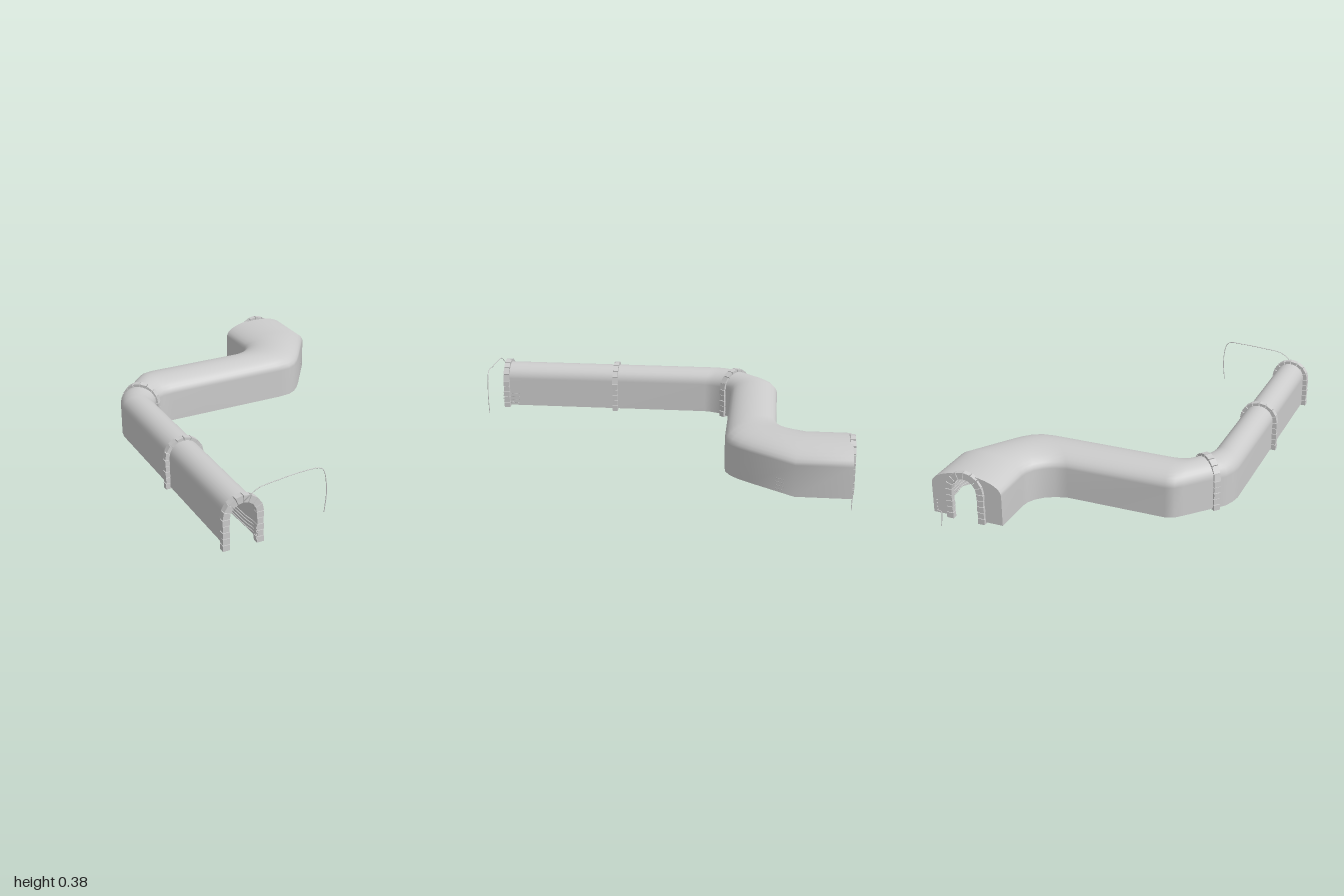
import * as THREE from 'three';

const grey = new THREE.MeshStandardMaterial({ color: 0xcccccc });
const greyThin = new THREE.MeshStandardMaterial({ color: 0xcccccc, side: THREE.DoubleSide });

const FLOOR = 0.075, SPRING = 0.237, TOP = 0.315;

// Plan of the tunnel: foot of the -x wall (x, z) and foot of the +x wall (x, z)
const STATIONS = [
  [-0.66, 0.97, -0.50, 0.97], [-0.66, 0.30, -0.50, 0.30], [-0.66, -0.29, -0.50, -0.20],
  [-0.65, -0.34, -0.492, -0.24], [-0.63, -0.39, -0.475, -0.28], [-0.60, -0.423, -0.455, -0.31],
  [-0.47, -0.565, -0.43, -0.335], [-0.435, -0.60, -0.39, -0.352], [-0.39, -0.615, -0.34, -0.357],
  [0.13, -0.615, 0.33, -0.357], [0.19, -0.632, 0.40, -0.365], [0.24, -0.66, 0.445, -0.39],
  [0.275, -0.695, 0.485, -0.43], [0.295, -0.735, 0.53, -0.49], [0.30, -0.77, 0.68, -0.71],
  [0.30, -0.985, 0.68, -0.985],
];

// Arched cross-section: t runs 0..1 across the width, y is the height
function archProfile(segments = 16) {
  const points = [[0, FLOOR]];
  for (let i = 0; i <= segments; i++) {
    const a = Math.PI * (1 - i / segments);
    points.push([0.5 + 0.5 * Math.cos(a), SPRING + (TOP - SPRING) * Math.sin(a)]);
  }
  points.push([1, FLOOR]);
  return points;
}

// Vault shell lofted through the stations, open underneath
function tunnelShell() {
  const profile = archProfile(), n = profile.length;
  const positions = [], index = [];
  STATIONS.forEach(([lx, lz, rx, rz], i) => {
    profile.forEach(([t, y], j) => {
      positions.push(lx + (rx - lx) * t, y, lz + (rz - lz) * t);
      if (i < STATIONS.length - 1 && j < n - 1) {
        const a = i * n + j, b = a + 1, c = a + n, d = c + 1;
        index.push(a, b, c, b, d, c);
      }
    });
  });
  const g = new THREE.BufferGeometry();
  g.setAttribute('position', new THREE.Float32BufferAttribute(positions, 3));
  g.setIndex(index);
  g.computeVertexNormals();
  return new THREE.Mesh(g, greyThin);
}

// End wall with an arched doorway
function endWall() {
  const x0 = 0.30, w = 0.38, cx = 0.495, r = 0.07;
  const shape = new THREE.Shape(archProfile().map(([t, y]) => new THREE.Vector2(x0 + w * t, y)));
  shape.lineTo(cx + r, FLOOR);
  shape.lineTo(cx + r, 0.23);
  shape.absarc(cx, 0.23, r, 0, Math.PI, false);
  shape.lineTo(cx - r, FLOOR);
  shape.closePath();
  const wall = new THREE.Mesh(new THREE.ShapeGeometry(shape), greyThin);
  wall.position.z = -0.985;
  return wall;
}

// Arch of separate stones: stacked legs and a ring of wedges
function stoneArch(name, x, z, depth, turn = 0) {
  const group = new THREE.Group();
  group.name = name;
  const inner = 0.068, outer = 0.104, base = 0.065, spring = 0.227, rows = 5, wedges = 8;
  const pitch = (spring - base) / rows;
  for (const side of [-1, 1]) {
    for (let i = 0; i < rows; i++) {
      const width = outer - inner - (i % 2) * 0.003;
      const block = new THREE.Mesh(new THREE.BoxGeometry(width, pitch - 0.003, depth), grey);
      block.name = 'legStone';
      block.position.set(side * (inner + outer) / 2, base + (i + 0.5) * pitch, 0);
      group.add(block);
    }
  }
  for (let i = 0; i < wedges; i++) {
    const a0 = (i / wedges) * Math.PI + 0.02, a1 = ((i + 1) / wedges) * Math.PI - 0.02;
    const corner = (r, a) => new THREE.Vector2(r * Math.cos(a), r * Math.sin(a));
    const shape = new THREE.Shape([corner(inner, a0), corner(outer, a0), corner(outer, a1), corner(inner, a1)]);
    const g = new THREE.ExtrudeGeometry(shape, { depth, bevelEnabled: false });
    const wedge = new THREE.Mesh(g.translate(0, spring, -depth / 2), grey);
    wedge.name = 'archStone';
    group.add(wedge);
  }
  group.position.set(x, 0, z);
  group.rotation.y = turn;
  return group;
}

function tube(name, points, radius, segments) {
  const curve = new THREE.CatmullRomCurve3(points.map(p => new THREE.Vector3(...p)), false, 'centripetal');
  const mesh = new THREE.Mesh(new THREE.TubeGeometry(curve, segments, radius, 6), grey);
  mesh.name = name;
  return mesh;
}

// Four parallel cables following the inside of the +x wall
function cables() {
  const group = new THREE.Group();
  group.name = 'wallCables';
  const plan = [[-0.52, 0.995], [-0.499, 0.93], [-0.508, 0.86]];
  for (const [lx, lz, rx, rz] of STATIONS.slice(1, -1)) {
    const d = Math.hypot(lx - rx, lz - rz);
    plan.push([rx + (lx - rx) / d * 0.012, rz + (lz - rz) / d * 0.012]);
  }
  plan.push([0.662, -0.80], [0.657, -0.995]);
  for (const y of [0.09, 0.108, 0.127, 0.145]) {
    group.add(tube('cable', plan.map(([x, z]) => [x, y, z]), 0.003, 140));
  }
  return group;
}

export function createModel() {
  const model = new THREE.Group();
  model.name = 'tunnel';

  const shell = tunnelShell();
  shell.name = 'tunnelShell';
  const wall = endWall();
  wall.name = 'endWall';
  model.add(shell, wall, cables());

  // Stone arches along the passage
  model.add(
    stoneArch('frontArch', -0.58, 0.965, 0.032),
    stoneArch('middleArch', -0.58, 0.323, 0.03),
    stoneArch('bendArch', -0.522, -0.37, 0.035, -0.72),
    stoneArch('backArch', 0.495, -0.987, 0.026),
  );

  // Loose wires at both ends
  model.add(
    tube('frontWire', [
      [-0.585, 0.29, 0.975], [-0.56, 0.325, 0.99], [-0.51, 0.358, 0.993], [-0.40, 0.373, 0.99],
      [-0.28, 0.381, 0.987], [-0.19, 0.378, 0.99], [-0.17, 0.355, 0.99], [-0.155, 0.25, 0.99], [-0.165, 0.14, 0.99],
    ], 0.002, 50),
    tube('backWire', [[0.655, 0.09, -0.992], [0.636, 0.085, -0.992], [0.637, 0.05, -0.99], [0.644, 0.001, -0.988]], 0.002, 16),
  );
  return model;
}
